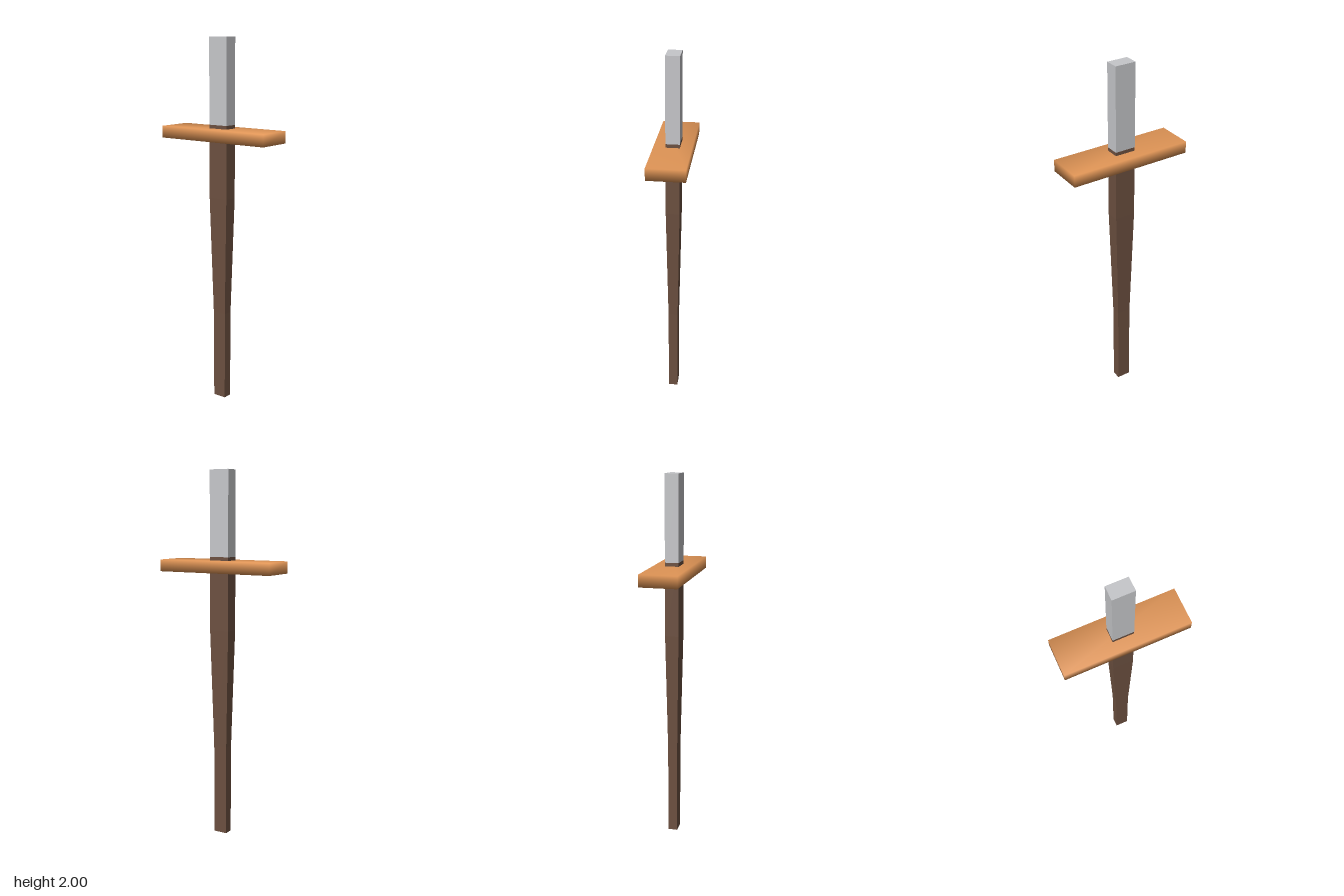
import * as THREE from 'three';
import { mergeVertices } from 'three/addons/utils/BufferGeometryUtils.js';

const material = (name, color, flatShading = false) =>
  Object.assign(new THREE.MeshStandardMaterial({ color, flatShading }), { name });

function part(name, geometry, mat, y) {
  const mesh = new THREE.Mesh(geometry, mat);
  mesh.name = name;
  mesh.position.y = y;
  return mesh;
}

export function createModel() {
  const steel = material('pale grey', 0xc6c7ca);
  const wood = material('dark brown', 0x6c5040, true);
  const bronze = material('orange bronze', 0xe09556);
  const group = new THREE.Group();
  group.name = 'sword';

  // Square grip
  group.add(part('grip', new THREE.BoxGeometry(0.114, 0.455, 0.074), steel, 1.7725));

  // Scabbard: a tall box narrowed towards the foot, [y, half width, half depth]
  const rings = [[0, 0.038, 0.025], [0.5, 0.039, 0.026], [1.15, 0.057, 0.037], [1.545, 0.057, 0.037]];
  const scabbard = new THREE.BoxGeometry(2, 3, 2, 1, 3, 1);
  const p = scabbard.attributes.position;
  for (let i = 0; i < p.count; i++) {
    const [y, w, d] = rings[Math.round(p.getY(i) + 1.5)];
    p.setXYZ(i, p.getX(i) * w, y, p.getZ(i) * d);
  }
  scabbard.computeVertexNormals();
  group.add(part('scabbard', scabbard, wood, 0));

  // Crossguard: a box with shared corners, so its shading is soft
  const box = new THREE.BoxGeometry(0.674, 0.064, 0.2);
  box.deleteAttribute('normal');
  box.deleteAttribute('uv');
  const guard = mergeVertices(box);
  guard.computeVertexNormals();
  group.add(part('crossguard', guard, bronze, 1.494));

  return group;
}
